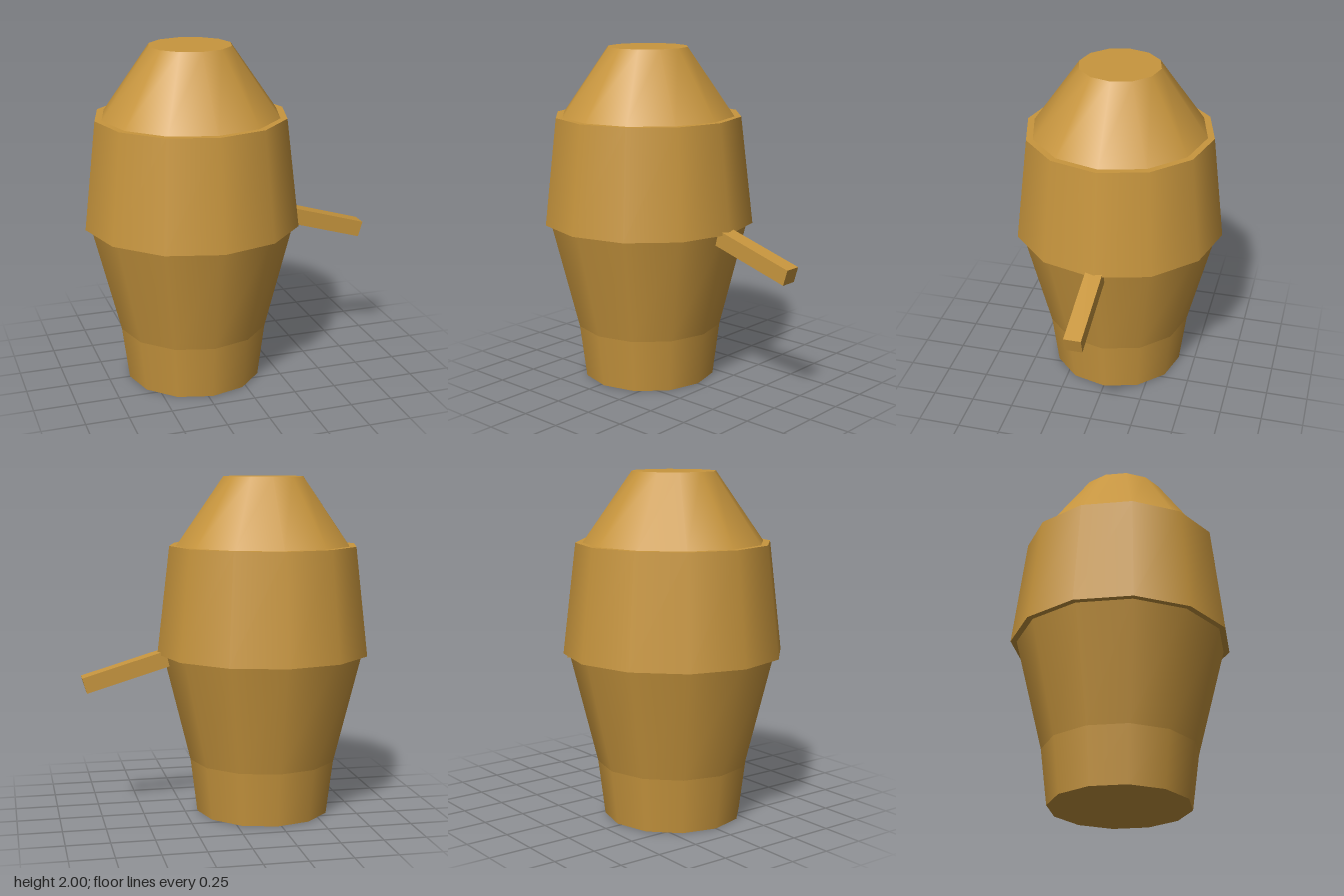
import * as THREE from 'three';

export function createModel() {
  const group = new THREE.Group();
  const ochre = new THREE.MeshStandardMaterial({ color: 0xc8963e });
  ochre.name = 'ochre';
  const SIDES = 12;
  const AXIS_X = -0.225;

  // Stacked tapered sections: name, bottom y, top y, bottom radius, top radius
  const sections = [
    ['foot', 0, 0.32, 0.4, 0.44],
    ['lowerBody', 0.32, 0.965, 0.44, 0.6],
    ['wideBand', 0.965, 1.6, 0.635, 0.56],
    ['taperedTop', 1.6, 2, 0.52, 0.24],
  ];
  for (const [name, y0, y1, r0, r1] of sections) {
    const mesh = new THREE.Mesh(new THREE.CylinderGeometry(r1, r0, y1 - y0, SIDES), ochre);
    mesh.name = name;
    mesh.position.set(AXIS_X, (y0 + y1) / 2, 0);
    group.add(mesh);
  }

  // Square bar sloping down from the side, its inner end sunk in the body
  const length = 0.6;
  const angle = -0.29;
  const handle = new THREE.Mesh(new THREE.BoxGeometry(length, 0.095, 0.1), ochre);
  handle.name = 'handle';
  handle.rotation.z = angle;
  handle.position.set(0.843 - Math.cos(angle) * length / 2, 0.8 - Math.sin(angle) * length / 2, 0);
  group.add(handle);

  return group;
}
